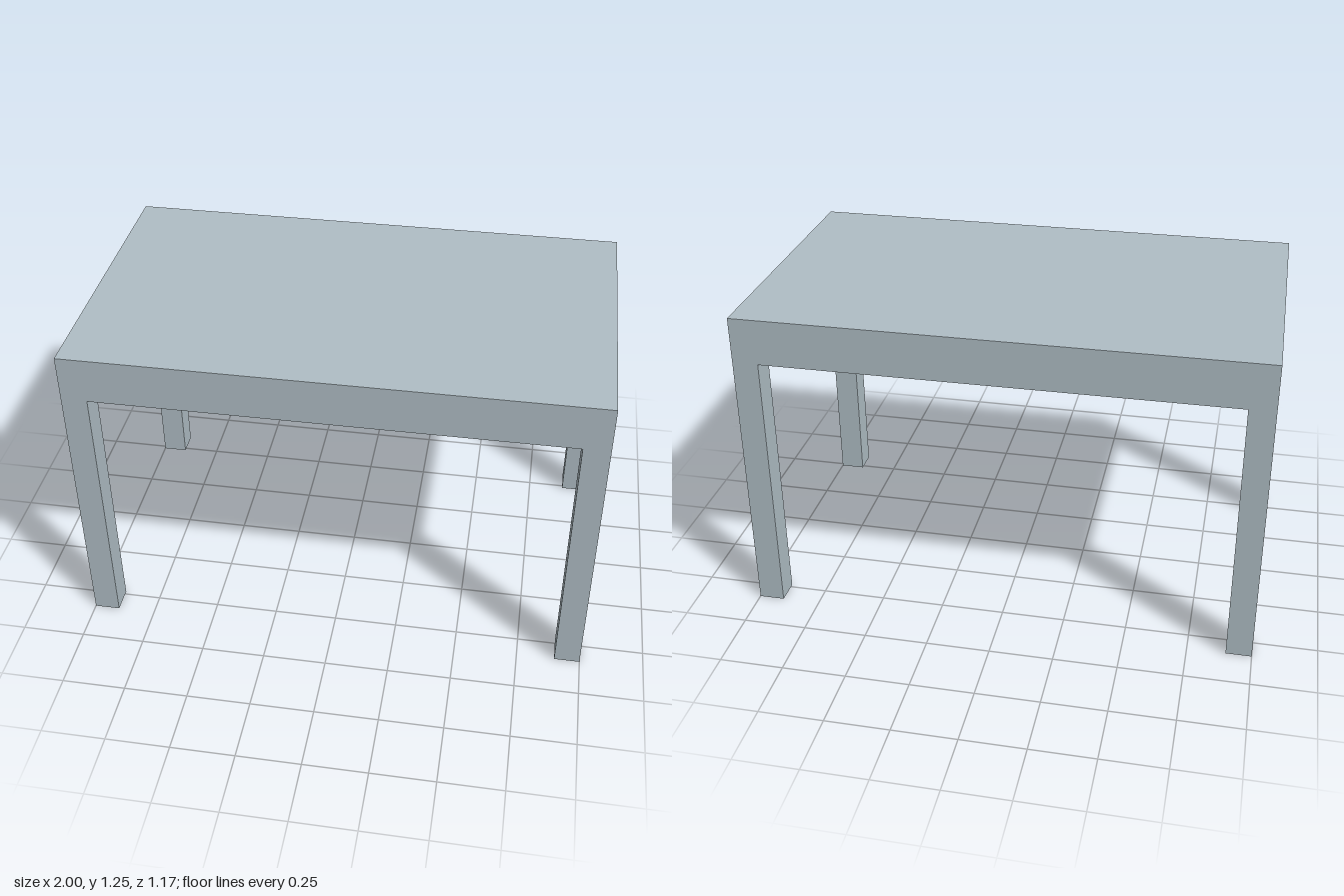
import * as THREE from 'three';

const W = 2, D = 1.17, H = 1.25;      // overall size
const TOP = 0.05;                     // tabletop thickness
const LEG = 0.1;                      // leg width
const RAIL = 0.05, RAIL_BOTTOM = 1.07; // apron thickness and lower edge

export function createModel() {
  const paint = new THREE.MeshStandardMaterial({ color: 0xb0bec5 });
  paint.name = 'pale blue grey';

  const table = new THREE.Group();
  table.name = 'table';

  const box = (name, w, h, d, x, y, z) => {
    const mesh = new THREE.Mesh(new THREE.BoxGeometry(w, h, d), paint);
    mesh.name = name;
    mesh.position.set(x, y, z);
    table.add(mesh);
  };

  // Tabletop
  const under = H - TOP;
  box('tabletop', W, TOP, D, 0, H - TOP / 2, 0);

  // Legs, flush with the corners
  for (const [side, sx] of [['Left', 1], ['Right', -1]]) {
    for (const [end, sz] of [['front', 1], ['back', -1]]) {
      box(`${end}${side}Leg`, LEG, under, LEG, sx * (W - LEG) / 2, under / 2, sz * (D - LEG) / 2);
    }
  }

  // Apron rails between the legs, flush with the outer faces
  const railH = under - RAIL_BOTTOM, railY = (under + RAIL_BOTTOM) / 2;
  for (const s of [1, -1]) {
    box(s > 0 ? 'frontApron' : 'backApron', W - 2 * LEG, railH, RAIL, 0, railY, s * (D - RAIL) / 2);
    box(s > 0 ? 'leftApron' : 'rightApron', RAIL, railH, D - 2 * LEG, s * (W - RAIL) / 2, railY, 0);
  }

  return table;
}
